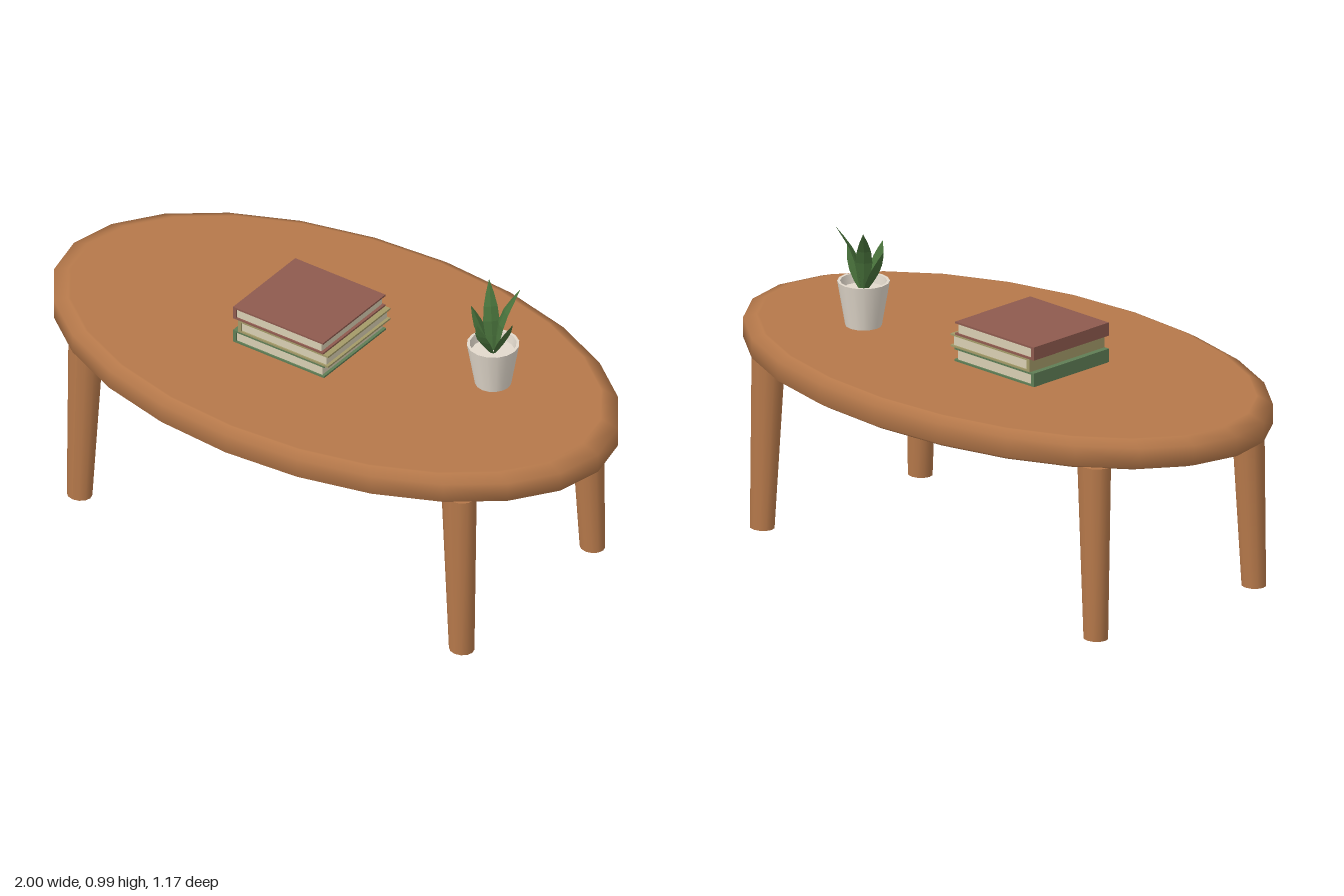
import * as THREE from 'three';

const mat = (color, extra = {}) => {
  const m = new THREE.MeshStandardMaterial({ color });
  return Object.assign(m, extra);
};
const wood = mat(0xb5784a);
const paper = mat(0xd8ceb2);
const ceramic = mat(0xe2d9cc);
const leafGreen = mat(0x47703a, { flatShading: true, side: THREE.DoubleSide });

function add(parent, name, geometry, material, x = 0, y = 0, z = 0) {
  const mesh = new THREE.Mesh(geometry, material);
  mesh.name = name;
  mesh.position.set(x, y, z);
  parent.add(mesh);
  return mesh;
}

const lathe = (pairs, sides) =>
  new THREE.LatheGeometry(pairs.map(([r, y]) => new THREE.Vector2(r, y)), sides, Math.PI / 2);

// Tapered leg: elliptical rings stacked along a slight lean, vertical on the outer side
function legGeometry() {
  const height = 0.56;
  const geo = new THREE.CylinderGeometry(1, 1, height, 12, 1);
  const p = geo.attributes.position;
  for (let i = 0; i < p.count; i++) {
    const top = p.getY(i) > 0;
    const rx = top ? 0.058 : 0.041, rz = top ? 0.047 : 0.037;
    p.setXYZ(i,
      p.getX(i) * rx + (top ? 0.712 : 0.729),
      top ? height + 0.005 : 0,
      p.getZ(i) * rz + (top ? 0.337 : 0.347));
  }
  geo.computeVertexNormals();
  return geo;
}

// Book: two cover boards, a spine on the -x side and a slightly inset page block
function book(name, color, x0, x1, y0, y1) {
  const g = new THREE.Group();
  g.name = name;
  const cover = mat(color);
  const board = 0.006, depth = 0.33, zc = 0.01;
  const w = x1 - x0, h = y1 - y0, xc = (x0 + x1) / 2, yc = (y0 + y1) / 2;
  for (const [n, y] of [['lowerCover', y0 + board / 2], ['upperCover', y1 - board / 2]]) {
    add(g, n, new THREE.BoxGeometry(w, board, depth), cover, xc, y, zc);
  }
  add(g, 'spine', new THREE.BoxGeometry(0.012, h - 2 * board, depth), cover, x0 + 0.006, yc, zc);
  add(g, 'pages', new THREE.BoxGeometry(w - 0.022, h - 2 * board, depth - 0.01), paper, xc + 0.001, yc, zc);
  return g;
}

// Succulent leaf: diamond cross-sections lofted along a curve, ending in a point
function leafGeometry(base, mid, tip, width) {
  const curve = new THREE.CatmullRomCurve3([base, mid, tip]);
  const out = new THREE.Vector3(tip.x - base.x, 0, tip.z - base.z).normalize();
  const side = new THREE.Vector3(-out.z, 0, out.x);
  const profile = [0.3, 0.8, 1, 0.85, 0.5, 0.02];
  const pos = [], index = [];
  profile.forEach((k, i) => {
    const t = i / (profile.length - 1);
    const c = curve.getPoint(t);
    const normal = curve.getTangent(t).cross(side).normalize();
    const w = k * width / 2;
    for (const [a, b] of [[1, 0], [0, 0.22], [-1, 0], [0, -0.22]]) {
      const v = c.clone().addScaledVector(side, a * w).addScaledVector(normal, b * w);
      pos.push(v.x, v.y, v.z);
    }
    if (i === 0) return;
    for (let j = 0; j < 4; j++) {
      const a = (i - 1) * 4 + j, a2 = (i - 1) * 4 + (j + 1) % 4;
      index.push(a, a2, a2 + 4, a, a2 + 4, a + 4);
    }
  });
  const geo = new THREE.BufferGeometry();
  geo.setAttribute('position', new THREE.Float32BufferAttribute(pos, 3));
  geo.setIndex(index);
  geo.computeVertexNormals();
  return geo;
}

export function createModel() {
  const model = new THREE.Group();
  model.name = 'coffeeTable';

  // Oval top with a bevelled rim
  const top = add(model, 'tableTop', lathe([
    [0, 0.56], [0.94, 0.56], [0.95, 0.56], [1, 0.578], [1, 0.642], [0.95, 0.66], [0.94, 0.66], [0, 0.66],
  ], 24), wood);
  top.scale.z = 0.587;

  // Four legs, mirrored by turning vertices so faces stay outward
  for (const sx of [1, -1]) for (const sz of [1, -1]) {
    const leg = add(model, (sz > 0 ? 'front' : 'back') + (sx > 0 ? 'Left' : 'Right') + 'Leg', legGeometry(), wood);
    leg.scale.set(sx, 1, sz);
  }

  // Stack of three books
  const books = new THREE.Group();
  books.name = 'bookStack';
  books.add(
    book('bottomBook', 0x5f7d55, -0.267, 0.08, 0.66, 0.704),
    book('middleBook', 0xa39a68, -0.248, 0.096, 0.704, 0.747),
    book('topBook', 0x8e5a4e, -0.267, 0.077, 0.747, 0.79));
  model.add(books);

  // Potted succulent
  const plant = new THREE.Group();
  plant.name = 'pottedPlant';
  plant.position.set(0.517, 0.66, -0.115);
  add(plant, 'pot', lathe([[0, 0], [0.057, 0], [0.057, 0], [0.082, 0.145]], 16), ceramic);
  add(plant, 'potRim', lathe([[0.082, 0.145], [0.073, 0.145]], 16), ceramic);
  add(plant, 'potInside', lathe([[0.073, 0.145], [0.068, 0.115]], 16), ceramic);
  add(plant, 'potFilling', lathe([[0.069, 0.115], [0, 0.115]], 16), ceramic);

  // Leaves: tip x, y, z, then the middle point, then the width
  const leaves = [
    ['frontLeaf', [0, 0.255, 0.084], [0, 0.195, 0.06], 0.05],
    ['leftLeaf', [0.082, 0.25, 0.012], [0.05, 0.19, 0.008], 0.05],
    ['rightLeaf', [-0.082, 0.255, 0.004], [-0.05, 0.19, 0.004], 0.05],
    ['backLeftLeaf', [0.053, 0.328, -0.07], [0.022, 0.235, -0.022], 0.052],
    ['backRightLeaf', [-0.06, 0.326, -0.062], [-0.024, 0.235, -0.022], 0.052],
  ];
  for (const [name, tip, mid, width] of leaves) {
    const base = new THREE.Vector3(tip[0] * 0.08, 0.11, tip[2] * 0.08);
    add(plant, name, leafGeometry(base, new THREE.Vector3(...mid), new THREE.Vector3(...tip), width), leafGreen);
  }
  model.add(plant);
  return model;
}
